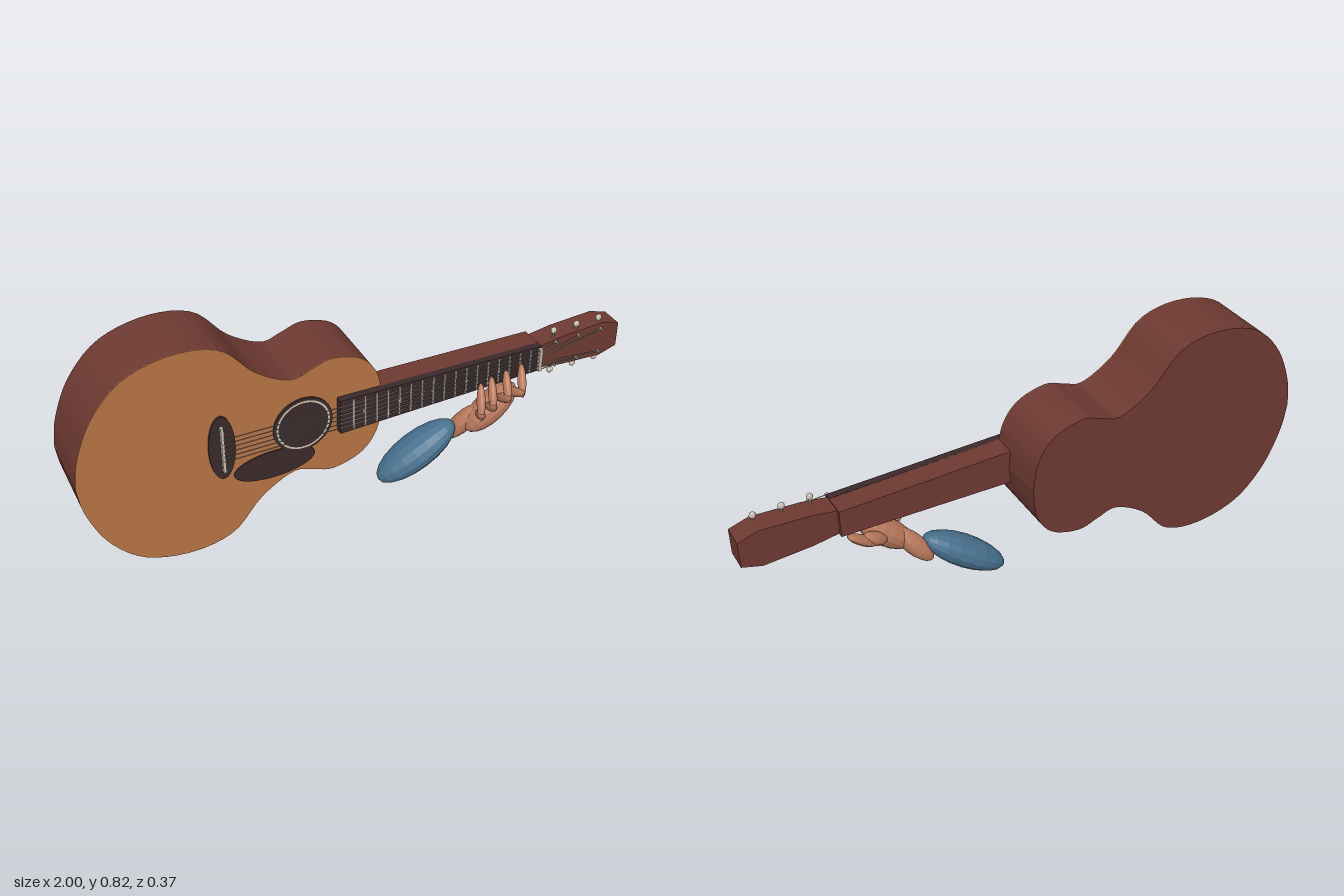
import * as THREE from 'three';

const V = (x, y, z) => new THREE.Vector3(x, y, z);
const CY = 0.432; // height of the instrument's centre line

export function createModel() {
  const root = new THREE.Group();
  root.name = 'guitarWithHand';
  const mat = (name, color, extra = {}) => {
    const m = new THREE.MeshStandardMaterial({ color, ...extra });
    m.name = name;
    return m;
  };
  const spruce = mat('honeyWood', 0xb87444);
  const mahogany = mat('redBrownWood', 0x6e3a32);
  const ebony = mat('darkWood', 0x3c2a2c);
  const ivory = mat('ivory', 0xc9c0b0);
  const steel = mat('steel', 0x95958f);
  const skin = mat('skin', 0xb8785c, { flatShading: true });
  const cloth = mat('blueSleeve', 0x48708e, { flatShading: true });

  const add = (name, geo, material, parent = root) => {
    const m = new THREE.Mesh(geo, material);
    m.name = name;
    parent.add(m);
    return m;
  };
  const group = (name) => {
    const g = new THREE.Group();
    g.name = name;
    root.add(g);
    return g;
  };
  // Slab with an xy outline between two depths
  const slab = (name, shape, z0, z1, material, parent) => {
    const g = new THREE.ExtrudeGeometry(shape, { depth: z1 - z0, bevelEnabled: false, curveSegments: 20 });
    g.translate(0, 0, z0);
    return add(name, g, material, parent);
  };
  // Outline symmetric about the centre line, from [x, halfHeight] pairs
  const symmetric = (pts) => new THREE.Shape([
    ...pts.map(([x, h]) => new THREE.Vector2(x, CY - h)),
    ...pts.slice().reverse().map(([x, h]) => new THREE.Vector2(x, CY + h)),
  ]);
  const ellipse = (x, y, rx, ry) => new THREE.Shape().absellipse(x, y, rx, ry, 0, Math.PI * 2);
  const box = (name, x, y, z, w, h, d, material, parent) =>
    add(name, new THREE.BoxGeometry(w, h, d), material, parent).position.set(x, y, z);
  const aim = (mesh, a, b) => {
    mesh.position.copy(a).add(b).multiplyScalar(0.5);
    mesh.quaternion.setFromUnitVectors(V(0, 1, 0), b.clone().sub(a).normalize());
    return mesh;
  };
  const rod = (name, a, b, r, material, parent) =>
    aim(add(name, new THREE.CylinderGeometry(r, r, a.distanceTo(b), 6), material, parent), a, b);
  // Faceted ellipsoid whose poles lie at a and b
  const pod = (name, a, b, rx, rz, material, parent) => {
    const g = new THREE.SphereGeometry(1, 14, 10);
    g.scale(rx, a.distanceTo(b) / 2, rz);
    return aim(add(name, g, material, parent), a, b);
  };

  // Sound box: figure-eight outline
  const half = new THREE.SplineCurve([
    [-1, 0], [-0.982, 0.11], [-0.92, 0.25], [-0.81, 0.36], [-0.65, 0.402], [-0.5, 0.372],
    [-0.39, 0.255], [-0.275, 0.19], [-0.2, 0.207], [-0.125, 0.228], [-0.02, 0.195], [0.04, 0.115], [0.058, 0],
  ].map(([x, y]) => new THREE.Vector2(x, y))).getPoints(56);
  const outline = symmetric(half.map((p) => [p.x, p.y]));
  slab('soundBox', outline, -0.187, 0.052, mahogany);
  slab('topBoard', outline, 0.0521, 0.055, spruce);

  // Sound hole, rosette, bridge and pick guard
  slab('pickGuard', ellipse(-0.34, 0.303, 0.145, 0.055), 0.055, 0.059, ebony);
  slab('soundHole', ellipse(-0.235, CY, 0.106, 0.106), 0.055, 0.0605, ebony);
  const ring = add('rosette', new THREE.RingGeometry(0.089, 0.096, 40), ivory);
  ring.position.set(-0.235, CY, 0.062);
  slab('bridge', ellipse(-0.52, 0.434, 0.046, 0.126), 0.055, 0.062, ebony);
  box('saddle', -0.52, CY, 0.068, 0.01, 0.18, 0.014, ivory);

  // Neck, fingerboard and headstock
  slab('neck', symmetric([[0.04, 0.064], [0.67, 0.05]]), -0.025, 0.057, mahogany);
  slab('fingerboard', symmetric([[-0.11, 0.067], [0.67, 0.051]]), 0.055, 0.081, ebony);
  slab('headstock', symmetric([[0.665, 0.045], [0.76, 0.06], [0.93, 0.07], [1, 0.048]]), -0.01, 0.072, mahogany);

  const frets = group('frets');
  for (let i = 0; i < 17; i++) {
    const x = -0.062 + i * 0.043;
    box('fret', x, CY, 0.082, 0.006, 2 * (0.062 - 0.016 * (x + 0.11) / 0.78), 0.006, ivory, frets);
  }
  box('nut', 0.663, CY, 0.085, 0.012, 0.092, 0.018, ivory);
  [-0.022, 0.11, 0.238, 0.368, 0.498].forEach((x) => {
    const dot = add('fretMarker', new THREE.CylinderGeometry(0.006, 0.006, 0.003, 10), ivory, frets);
    dot.rotation.x = Math.PI / 2;
    dot.position.set(x, CY, 0.082);
  });

  // Strings and tuning pegs, three to each side
  const strings = group('strings');
  const pegs = group('tuningPegs');
  for (let i = 0; i < 6; i++) {
    const t = i - 2.5, side = Math.sign(t);
    const px = [0.733, 0.828, 0.922][Math.floor(Math.abs(t))];
    // Outermost strings turn off to the nearest pegs
    const x = [0.922, 0.828, 0.733][Math.floor(Math.abs(t))];
    const nut = V(0.663, CY + t * 0.016, 0.092);
    const post = V(x, CY + side * 0.048, 0.078);
    rod('string', V(-0.52, CY + t * 0.018, 0.075), nut, 0.0018, steel, strings);
    rod('stringEnd', nut, post, 0.0018, ivory, strings);
    rod('stringPost', V(x, post.y, 0.07), V(x, post.y, 0.083), 0.006, steel, pegs);
    rod('pegShaft', V(px, CY + side * 0.055, 0.055), V(px, CY + side * 0.08, 0.055), 0.004, steel, pegs);
    const knob = new THREE.SphereGeometry(1, 10, 8);
    knob.scale(0.012, 0.013, 0.009);
    add('pegKnob', knob, ivory, pegs).position.set(px, CY + side * 0.084, 0.055);
  }

  // Arm and hand
  const arm = group('arm');
  pod('sleeve', V(0.083, 0.02, -0.018), V(0.362, 0.215, 0.025), 0.056, 0.075, cloth, arm);
  pod('wrist', V(0.345, 0.135, 0.0), V(0.455, 0.275, 0.05), 0.036, 0.036, skin, arm);
  pod('palm', V(0.395, 0.19, 0.055), V(0.575, 0.348, 0.07), 0.05, 0.058, skin, arm);
  pod('thumbBase', V(0.5, 0.27, 0.02), V(0.59, 0.335, -0.008), 0.024, 0.026, skin, arm);
  pod('thumb', V(0.545, 0.285, 0.0), V(0.648, 0.37, -0.02), 0.017, 0.024, skin, arm);

  // Fingers: knuckle segment reaching forward, then tip curling back to the strings
  [
    [0.425, 0.275, 0.383, 0.312, 0.415, 0.42],
    [0.46, 0.295, 0.432, 0.335, 0.456, 0.435],
    [0.5, 0.318, 0.49, 0.355, 0.513, 0.445],
    [0.535, 0.335, 0.545, 0.36, 0.575, 0.452],
  ].forEach(([ax, ay, bx, by, cx, cy]) => {
    pod('fingerBase', V(ax, ay, 0.08), V(bx, by + 0.025, 0.18), 0.016, 0.018, skin, arm);
    pod('fingerTip', V(bx, by, 0.172), V(cx, cy, 0.103), 0.015, 0.017, skin, arm);
  });

  return root;
}
